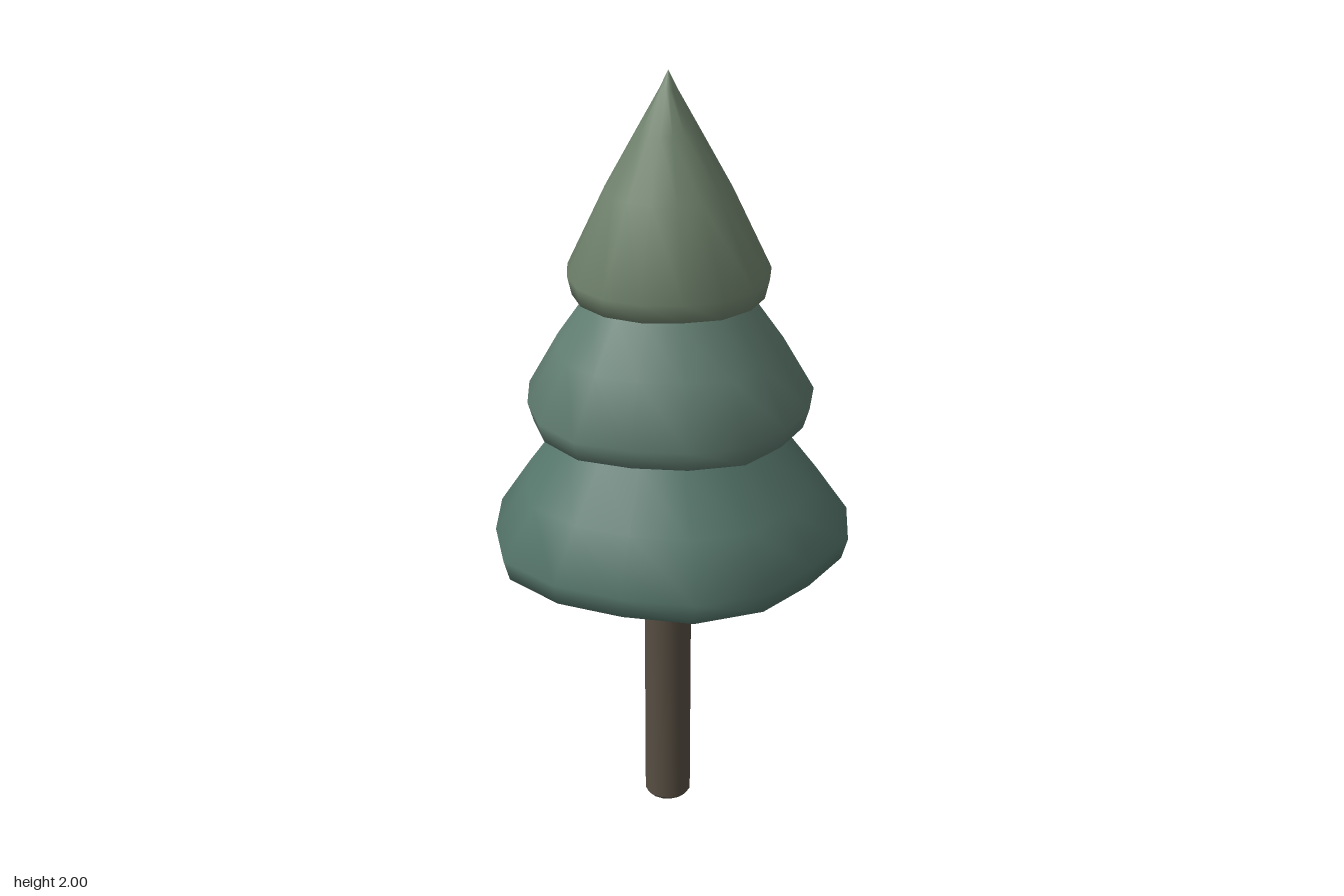
import * as THREE from 'three';
import { toCreasedNormals } from 'three/addons/utils/BufferGeometryUtils.js';

const SIDES = 16;
const CENTRE_X = 0.01;

// Lathe whose columns are scaled by a table of rim radii, starting at +x and turning towards +z
function unevenTier(profile, rim) {
  const points = profile.map(([r, y]) => new THREE.Vector2(r, y));
  const widest = Math.max(...profile.map(([r]) => r));
  const geometry = new THREE.LatheGeometry(points, SIDES);
  const pos = geometry.attributes.position;
  for (let i = 0; i < pos.count; i++) {
    const x = pos.getX(i), z = pos.getZ(i);
    const column = Math.round(Math.atan2(z, x) / (2 * Math.PI) * SIDES + SIDES) % SIDES;
    const k = rim[column] / widest;
    pos.setXYZ(i, x * k, pos.getY(i), z * k);
  }
  return toCreasedNormals(geometry, 1.15);
}

export function createModel() {
  const tree = new THREE.Group();
  tree.name = 'pineTree';
  const material = (color) => new THREE.MeshStandardMaterial({ color });
  const bark = material(0x574e42);

  function add(name, geometry, mat) {
    const mesh = new THREE.Mesh(geometry, mat);
    mesh.name = name;
    mesh.position.x = CENTRE_X;
    tree.add(mesh);
    return mesh;
  }

  // Trunk with a slightly bevelled foot
  const trunk = [[0, 0], [0.056, 0], [0.062, 0.008], [0.062, 1.0], [0, 1.0]]
    .map(([r, y]) => new THREE.Vector2(r, y));
  add('trunk', toCreasedNormals(new THREE.LatheGeometry(trunk, SIDES), 0.6), bark);

  // Five branches spiralling up the trunk
  const up = new THREE.Vector3(0, 1, 0);
  for (let i = 0; i < 5; i++) {
    const a = i * 2 * Math.PI / 5;
    const y = 0.57 + i * 0.06;
    const start = new THREE.Vector3(0.03 * Math.cos(a), y + 0.02, 0.03 * Math.sin(a));
    const end = new THREE.Vector3(0.31 * Math.cos(a), y + 0.235, 0.31 * Math.sin(a));
    const along = end.clone().sub(start);
    const branch = add('branch' + (i + 1), new THREE.CapsuleGeometry(0.019, along.length(), 5, 10), bark);
    branch.position.add(start).addScaledVector(along, 0.5);
    branch.quaternion.setFromUnitVectors(up, along.normalize());
  }

  // Foliage tiers: profile from the underside up, then the uneven rim
  const tiers = [
    {
      name: 'lowerFoliage', color: 0x55756a,
      profile: [[0, 0.75], [0.345, 0.755], [0.445, 0.785], [0.46, 0.84], [0.375, 0.965], [0.275, 1.1], [0, 1.42]],
      rim: [0.45, 0.469, 0.47, 0.446, 0.457, 0.471, 0.445, 0.455,
        0.47, 0.455, 0.447, 0.474, 0.46, 0.45, 0.473, 0.471],
    },
    {
      name: 'middleFoliage', color: 0x607c70,
      profile: [[0, 1.1], [0.275, 1.105], [0.35, 1.135], [0.365, 1.185], [0.285, 1.325], [0.205, 1.44], [0, 1.7]],
      rim: [0.357, 0.376, 0.36, 0.354, 0.37, 0.363, 0.353, 0.367,
        0.368, 0.35, 0.365, 0.371, 0.353, 0.361, 0.373, 0.36],
    },
    {
      name: 'topFoliage', color: 0x6f826c,
      profile: [[0, 1.44], [0.185, 1.443], [0.242, 1.463], [0.253, 1.51], [0.155, 1.715], [0.075, 1.86], [0.022, 1.955], [0, 2]],
      rim: [0.257, 0.26, 0.25, 0.255, 0.257, 0.252, 0.247, 0.257,
        0.247, 0.246, 0.256, 0.25, 0.244, 0.257, 0.256, 0.252],
    },
  ];
  for (const t of tiers) add(t.name, unevenTier(t.profile, t.rim), material(t.color));

  return tree;
}
